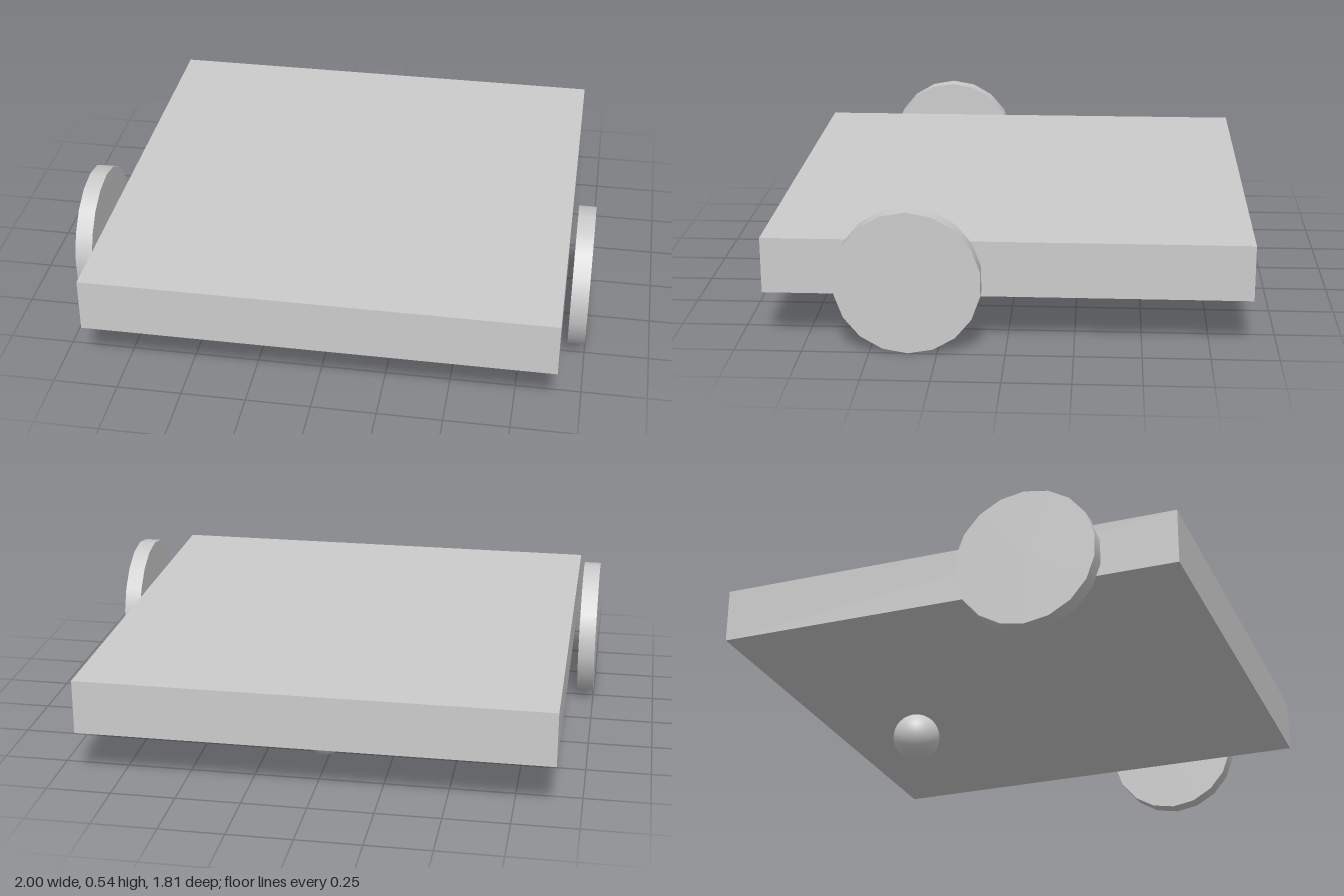
import * as THREE from 'three';

export function createModel() {
  const group = new THREE.Group();
  const material = new THREE.MeshStandardMaterial({ color: 0xcccccc });

  const add = (name, geometry, x, y, z) => {
    const mesh = new THREE.Mesh(geometry, material);
    mesh.name = name;
    mesh.position.set(x, y, z);
    group.add(mesh);
  };

  // Flat slab body
  add('chassis', new THREE.BoxGeometry(1.812, 0.212, 1.812), 0.003, 0.3, 0);

  // Thin 18-sided wheels with a corner at the top
  const radius = 0.271;
  const width = 0.067;
  const wheel = new THREE.CylinderGeometry(radius, radius, width, 18, 1, false, Math.PI / 2);
  wheel.rotateZ(Math.PI / 2);
  for (const [name, side] of [['leftWheel', 1], ['rightWheel', -1]]) {
    add(name, wheel, side * (1 - width / 2), radius, 0.357);
  }

  // Ball caster under the back
  add('casterBall', new THREE.SphereGeometry(0.097, 32, 24), 0.018, 0.097, -0.503);

  return group;
}
